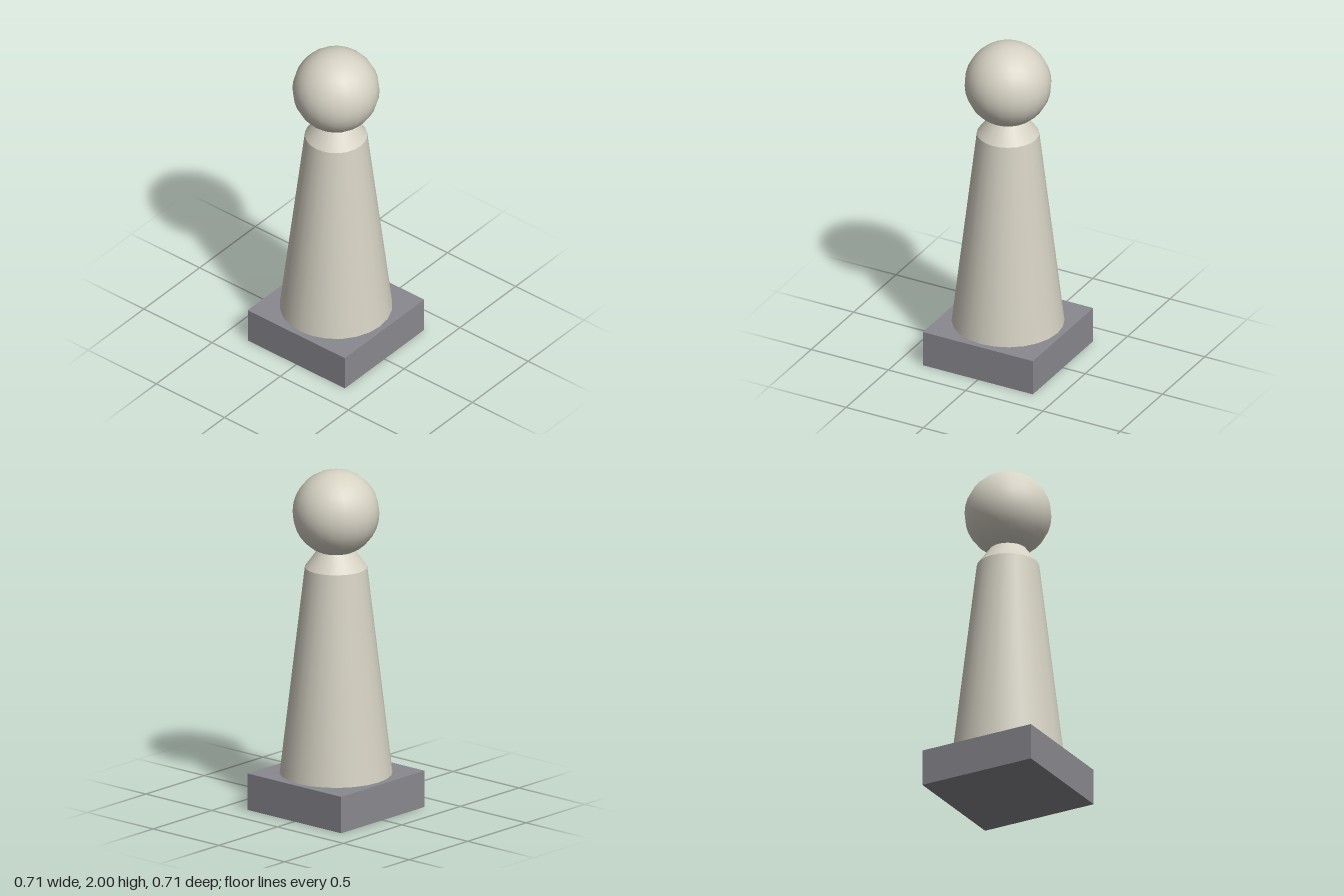
import * as THREE from 'three';

export function createModel() {
  const model = new THREE.Group();
  const stone = new THREE.MeshStandardMaterial({ name: 'grey stone', color: 0x8a898f });
  const ivory = new THREE.MeshStandardMaterial({ name: 'ivory', color: 0xd6d2c4 });

  const add = (name, geometry, material, y) => {
    const mesh = new THREE.Mesh(geometry, material);
    mesh.name = name;
    mesh.position.y = y;
    model.add(mesh);
  };
  // Tapered round section standing between two heights
  const taper = (name, topRadius, bottomRadius, y0, y1) =>
    add(name, new THREE.CylinderGeometry(topRadius, bottomRadius, y1 - y0, 24), ivory, (y0 + y1) / 2);

  // Square plinth
  add('plinth', new THREE.BoxGeometry(0.712, 0.215, 0.712), stone, 0.1075);

  // Tapered body and the shoulder that runs up into the head
  taper('body', 0.178, 0.321, 0.215, 1.43);
  taper('shoulder', 0.09, 0.178, 1.43, 1.55);

  // Ball head
  add('head', new THREE.SphereGeometry(0.248, 20, 16), ivory, 1.752);

  return model;
}
